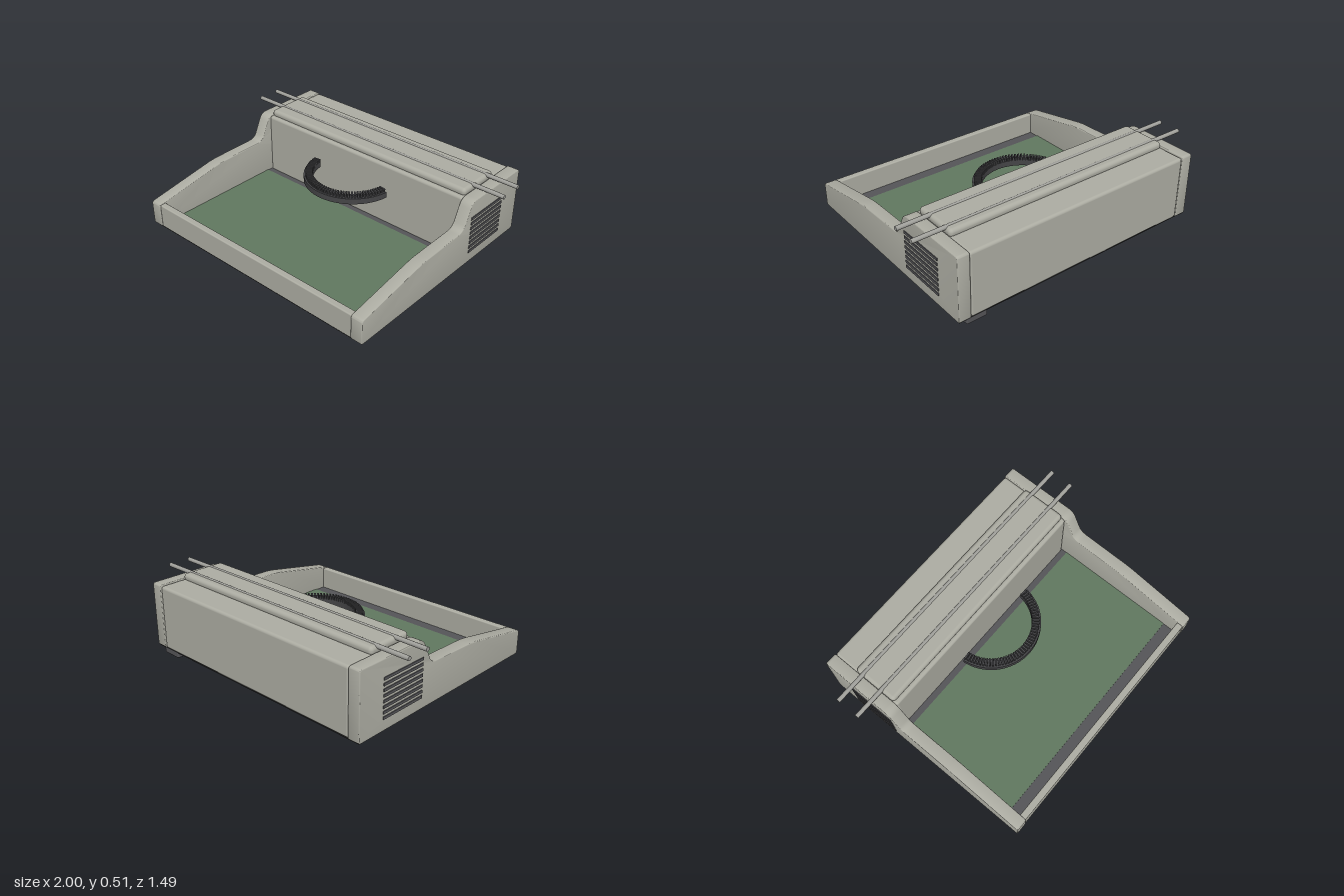
import * as THREE from 'three';
import { toCreasedNormals } from 'three/addons/utils/BufferGeometryUtils.js';
import { RoundedBoxGeometry } from 'three/addons/geometries/RoundedBoxGeometry.js';

export function createModel() {
  const model = new THREE.Group();
  model.name = 'machineCase';

  const material = (name, color) => {
    const m = new THREE.MeshStandardMaterial({ color });
    m.name = name;
    return m;
  };
  const shell = material('warm grey shell', 0xadada3);
  const rodGrey = material('rod grey', 0xa0a09b);
  const dark = material('dark grey', 0x555558);
  const charcoal = material('charcoal', 0x454547);
  const black = material('black underside', 0x2f2f2f);
  const green = material('green mat', 0x617860);

  const add = (name, geometry, mat, x = 0, y = 0, z = 0, parent = model) => {
    const mesh = new THREE.Mesh(geometry, mat);
    mesh.name = name;
    mesh.position.set(x, y, z);
    parent.add(mesh);
    return mesh;
  };
  // Box given by its minimum and maximum corners, optionally rounded
  const box = (name, mat, [x0, y0, z0], [x1, y1, z1], r = 0) => {
    const size = [x1 - x0, y1 - y0, z1 - z0];
    const g = r ? new RoundedBoxGeometry(...size, 3, r) : new THREE.BoxGeometry(...size);
    return add(name, g, mat, (x0 + x1) / 2, (y0 + y1) / 2, (z0 + z1) / 2);
  };

  // Side panel outline in (z, y): [z, y, corner radius]
  const outline = [
    [0.745, 0.04, 0.015], [0.745, 0.202, 0.02], [0.23, 0.293, 0.05],
    [-0.155, 0.302, 0.04], [-0.235, 0.47, 0.045], [-0.745, 0.47, 0.018], [-0.745, 0.04, 0.018],
  ];
  const profile = new THREE.Shape();
  outline.forEach(([z, y, r], i) => {
    const corner = new THREE.Vector2(z, y);
    const toward = (j) => {
      const p = outline[(j + outline.length) % outline.length];
      return new THREE.Vector2(p[0], p[1]).sub(corner).setLength(r).add(corner);
    };
    const a = toward(i - 1), b = toward(i + 1);
    if (i) profile.lineTo(a.x, a.y);
    else profile.moveTo(a.x, a.y);
    profile.quadraticCurveTo(z, y, b.x, b.y);
  });
  profile.closePath();
  const bevel = 0.006, panelWidth = 0.08;
  const panel = toCreasedNormals(new THREE.ExtrudeGeometry(profile, {
    depth: panelWidth - 2 * bevel, bevelSize: bevel, bevelThickness: bevel,
    bevelOffset: -bevel, bevelSegments: 3, curveSegments: 6,
  }), 0.6);
  panel.translate(0, 0, -panelWidth / 2 + bevel).rotateY(-Math.PI / 2);

  // Side panels with ventilation slats
  for (const [side, s] of [['left', 1], ['right', -1]]) {
    add(side + 'SidePanel', panel, shell, s * 0.835);
    const vent = new THREE.Group();
    vent.name = side + 'Vent';
    model.add(vent);
    for (let i = 0; i < 8; i++) {
      add('ventSlat', new THREE.BoxGeometry(0.012, 0.017, 0.325), dark,
        s * 0.874, 0.122 + i * 0.0333, -0.3975, vent);
    }
  }

  // Housing, top cover and front wall
  box('rearHousing', shell, [-0.797, 0.042, -0.743], [0.797, 0.465, -0.24], 0.018);
  box('topCover', shell, [-0.795, 0.452, -0.57], [0.795, 0.505, -0.265], 0.024);
  box('frontWall', shell, [-0.797, 0.042, 0.698], [0.797, 0.202, 0.741], 0.008);

  // Floor, mat and underside
  box('floor', dark, [-0.798, 0.043, -0.26], [0.798, 0.052, 0.71]);
  box('mat', green, [-0.797, 0.052, -0.2], [0.797, 0.056, 0.62]);
  box('underside', black, [-0.868, 0.037, -0.735], [0.868, 0.043, 0.735]);
  box('foot', dark, [0.682, 0, -0.735], [0.82, 0.045, -0.632], 0.008);

  // Paper rods across the top
  for (const z of [-0.365, -0.513]) {
    add('paperRod', new THREE.CylinderGeometry(0.0135, 0.0135, 2, 20), rodGrey, 0, 0.4965, z)
      .rotation.z = Math.PI / 2;
  }

  // Half-ring segment with upright teeth
  const segment = new THREE.Group();
  segment.name = 'toothedSegment';
  segment.position.set(0, 0.303, -0.19);
  model.add(segment);
  const outer = 0.31, inner = 0.252, start = 0.11, end = Math.PI - start;
  const arc = new THREE.Shape();
  arc.absarc(0, 0, outer, start, end, false);
  arc.absarc(0, 0, inner, end, start, true);
  const ring = new THREE.ExtrudeGeometry(arc, { depth: 0.038, bevelEnabled: false, curveSegments: 48 });
  ring.rotateX(Math.PI / 2).translate(0, 0.038, 0);
  add('segmentRing', toCreasedNormals(ring, 0.5), charcoal, 0, 0, 0, segment);
  const teeth = 44;
  for (let i = 0; i < teeth; i++) {
    const a = start + 0.02 + (i / (teeth - 1)) * (end - start - 0.04);
    const r = 0.276;
    add('segmentTooth', new THREE.BoxGeometry(0.046, 0.022, 0.011), charcoal,
      r * Math.cos(a), 0.047, r * Math.sin(a), segment).rotation.y = -a;
  }

  return model;
}
